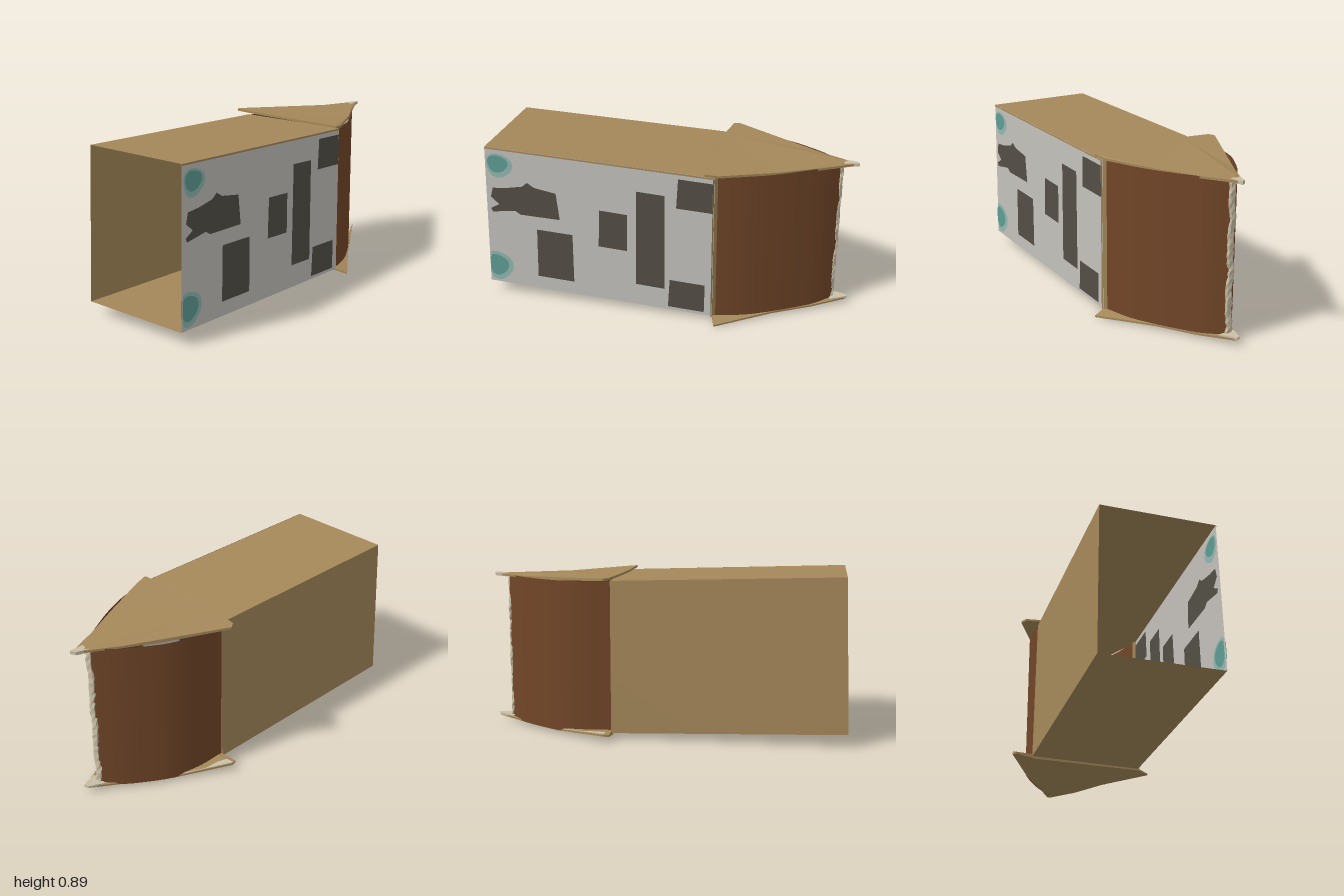
import * as THREE from 'three';

const mat = (name, color) => {
  const m = new THREE.MeshStandardMaterial({ color, side: THREE.DoubleSide });
  m.name = name;
  return m;
};

export function createModel() {
  const model = new THREE.Group();
  model.name = 'cardboardArrowBox';
  const cardboard = mat('cardboard', 0xa5885a);
  const brown = mat('brownCard', 0x714628);
  const grey = mat('greyPanel', 0xc4c1bc);
  const dark = mat('darkPaint', 0x534f46);
  const teal = mat('tealPaint', 0x5f9d94);
  const paleTeal = mat('paleTealPaint', 0x92b8b0);
  const tape = mat('tape', 0xcbc0a8);

  const add = (name, geometry, material) => {
    const mesh = new THREE.Mesh(geometry, material);
    mesh.name = name;
    model.add(mesh);
    return mesh;
  };

  // sheet stretched between two edges with the same number of points
  const strip = (name, a, b, material) => {
    const index = [];
    const n = a.length;
    for (let i = 0; i < n - 1; i++) index.push(i, i + 1, n + i, i + 1, n + i + 1, n + i);
    const g = new THREE.BufferGeometry();
    g.setAttribute('position', new THREE.Float32BufferAttribute([...a, ...b].flat(), 3));
    g.setIndex(index);
    g.computeVertexNormals();
    return add(name, g, material);
  };

  // flat-ish polygon cut from card, given as [x, y, z] corners; thickness goes down
  const plate = (name, pts, thick, material) => {
    const n = pts.length;
    const flat = pts.map(p => new THREE.Vector2(p[0], -p[2]));
    const tris = THREE.ShapeUtils.triangulateShape(flat, []);
    const low = pts.map(([x, y, z]) => [x, y - thick, z]);
    const index = [];
    tris.forEach(([a, b, c]) => index.push(a, b, c, n + a, n + c, n + b));
    for (let i = 0; i < n; i++) {
      const j = (i + 1) % n;
      index.push(i, n + i, j, j, n + i, n + j);
    }
    const g = new THREE.BufferGeometry();
    g.setAttribute('position', new THREE.Float32BufferAttribute([...pts, ...low].flat(), 3));
    g.setIndex(index);
    const split = g.toNonIndexed();
    split.computeVertexNormals();
    return add(name, split, material);
  };

  // long box, open at the -x end and joined to the wedge at +x
  const ftl = [-0.96, 0.89, 0.285], fbl = [-0.99, 0.07, 0.285];
  const ftr = [0.29, 0.845, 0.335], fbr = [0.29, 0.025, 0.335];
  const btl = [-0.94, 0.89, -0.325], bbl = [-0.97, 0.07, -0.345];
  const btr = [0.29, 0.85, -0.285], bbr = [0.29, 0.025, -0.295];
  strip('frontPanel', [fbl, fbr], [ftl, ftr], grey);
  strip('backPanel', [bbr, bbl], [btr, btl], cardboard);
  strip('boxTop', [ftl, ftr], [btl, btr], cardboard);
  strip('boxBottom', [bbl, bbr], [fbl, fbr], cardboard);
  const down = ([x, y, z], d = 0.009) => [x, y - d, z + 0.003];
  strip('frontTopEdge', [down(ftl), down(ftr)], [ftl, ftr].map(p => down(p, 0)), cardboard);

  // painted patches follow the slanted front panel, on both of its faces
  const panelZ = x => 0.285 + (x + 0.975) * 0.05 / 1.265;
  const paint = (name, pts, layer, material) => {
    for (const side of [1, -1]) {
      const g = new THREE.ShapeGeometry(new THREE.Shape(pts.map(p => new THREE.Vector2(...p))));
      const p = g.attributes.position;
      for (let i = 0; i < p.count; i++) p.setZ(i, panelZ(p.getX(i)) + side * 0.003 * layer);
      g.computeVertexNormals();
      add(name, g, material);
    }
  };
  const blocks = [
    [-0.70, -0.49, 0.13, 0.43], [-0.34, -0.18, 0.365, 0.59], [-0.135, 0.025, 0.16, 0.725],
    [0.09, 0.285, 0.645, 0.82], [0.045, 0.245, 0.045, 0.22],
  ];
  blocks.forEach(([x0, x1, y0, y1]) => paint('darkBlock',
    [[x0, y0 + 0.008], [x1, y0], [x1 + 0.003, y1 - 0.008], [x0 + 0.01, y1]], 1.3, dark));
  paint('darkCloud', [
    [-0.93, 0.655], [-0.86, 0.66], [-0.76, 0.68], [-0.73, 0.705], [-0.69, 0.68], [-0.57, 0.66],
    [-0.555, 0.505], [-0.78, 0.51], [-0.81, 0.53], [-0.94, 0.51], [-0.95, 0.53], [-0.9, 0.56], [-0.945, 0.6],
  ], 1.3, dark);
  const blob = (cx, cy, rx, ry) => Array.from({ length: 18 }, (_, i) => {
    const a = i / 18 * Math.PI * 2;
    const r = 1 + 0.07 * Math.sin(3 * a + 1);
    const y = cy + ry * r * Math.sin(a);
    return [Math.max(cx + rx * r * Math.cos(a), -0.986 + (y - 0.07) * 0.036), y];
  });
  paint('paleSpot', blob(-0.885, 0.79, 0.075, 0.07), 1, paleTeal);
  paint('tealSpot', blob(-0.892, 0.8, 0.058, 0.05), 2, teal);
  paint('paleSpot', blob(-0.93, 0.175, 0.08, 0.09), 1, paleTeal);
  paint('tealSpot', blob(-0.935, 0.18, 0.06, 0.065), 2, teal);

  // bulging sides of the wedge
  const frontCurve = [[0.305, 0.32], [0.45, 0.285], [0.6, 0.22], [0.75, 0.135], [0.84, 0.075], [0.91, 0.012]];
  const backCurve = [[0.29, -0.288], [0.45, -0.285], [0.6, -0.245], [0.75, -0.155], [0.84, -0.085], [0.91, -0.012]];
  for (const [name, pts] of [['wedgeFront', frontCurve], ['wedgeBack', backCurve]]) {
    const curve = new THREE.SplineCurve(pts.map(p => new THREE.Vector2(...p))).getPoints(20);
    const at = y => curve.map(p => [p.x, y, p.y]);
    strip(name, at(0.02), at(0.845), brown);
  }
  // raw card edge where the box meets the wedge
  strip('joinEdge', [[0.282, 0.02, 0.34], [0.306, 0.02, 0.319]], [[0.282, 0.845, 0.34], [0.306, 0.845, 0.319]], cardboard);

  // pointed lid and base
  plate('wedgeLid', [
    [0.24, 0.868, 0.35], [0.31, 0.858, 0.335], [0.6, 0.848, 0.205], [0.8, 0.846, 0.105], [0.98, 0.852, 0.02],
    [0.985, 0.852, 0.005], [0.8, 0.848, -0.1], [0.6, 0.852, -0.215], [0.31, 0.872, -0.38],
    [0.28, 0.875, -0.36], [0.255, 0.876, -0.2], [0.237, 0.874, 0.05],
  ], 0.012, cardboard);
  plate('wedgeBase', [
    [0.29, 0.025, 0.335], [0.31, 0.01, 0.4], [0.6, 0.025, 0.225], [0.8, 0.025, 0.115], [0.985, 0.04, 0.015],
    [0.985, 0.04, -0.005], [0.8, 0.025, -0.105], [0.6, 0.025, -0.24], [0.32, 0.045, -0.4],
    [0.285, 0.04, -0.39], [0.285, 0.022, -0.28],
  ], 0.01, cardboard);

  // crumpled tape along the nose
  const g = new THREE.CylinderGeometry(0.02, 0.02, 0.82, 7, 34);
  const p = g.attributes.position;
  for (let i = 0; i < p.count; i++) {
    const x = p.getX(i), y = p.getY(i), z = p.getZ(i);
    const wave = 1 + 0.28 * Math.sin(y * 91 + x * 160) * Math.cos(y * 47 + z * 210);
    p.setXYZ(i, 0.907 + x * 0.6 * wave, y + 0.436, z * wave + 0.004 * Math.sin(y * 23));
  }
  const crumpled = g.toNonIndexed();
  crumpled.computeVertexNormals();
  add('noseTape', crumpled, tape);

  // tape scraps on the tips and the rear corner of the base
  plate('lidTipTape', [[0.92, 0.853, 0.03], [1.0, 0.857, 0.022], [0.985, 0.855, -0.005], [0.92, 0.853, -0.025]], 0.018, tape);
  plate('baseTipTape', [[0.9, 0.04, 0.05], [0.995, 0.048, 0.012], [0.985, 0.046, -0.012], [0.9, 0.04, -0.045]], 0.012, tape);
  plate('baseCornerTape', [[0.31, 0.05, -0.4], [0.31, 0.045, -0.35], [0.52, 0.033, -0.27], [0.56, 0.033, -0.265]], 0.004, tape);
  return model;
}
